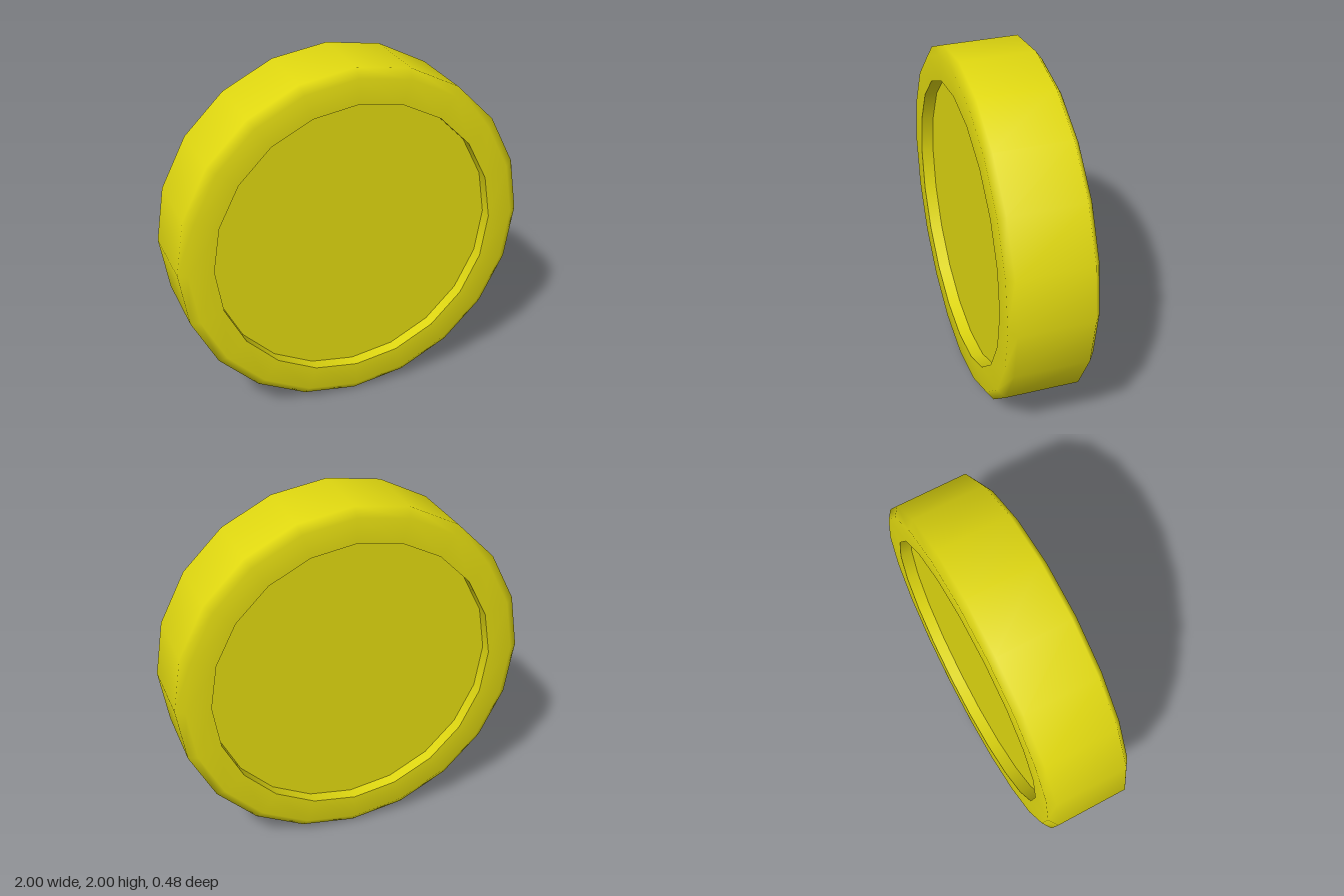
import * as THREE from 'three';

const SIDES = 20;
const HALF = 0.24;       // half thickness
const FLOOR = 0.17;      // height of the recessed face
const INNER = 0.81;      // radius of the recess

const material = new THREE.MeshStandardMaterial({ color: 0xe0d810 });

// Revolved part whose axis points along z
function lathe(name, profile) {
  const points = profile.map(([r, z]) => new THREE.Vector2(r, z));
  const geometry = new THREE.LatheGeometry(points, SIDES);
  geometry.rotateX(Math.PI / 2);
  const mesh = new THREE.Mesh(geometry, material);
  mesh.name = name;
  return mesh;
}

export function createModel() {
  const coin = new THREE.Group();
  coin.name = 'coin';

  // Outer band with bevelled edges and raised lips, smooth shaded
  coin.add(lathe('rim', [
    [INNER, -HALF], [0.95, -HALF], [1, -0.205],
    [1, 0.205], [0.95, HALF], [INNER, HALF],
  ]));

  // Recess on both sides: a short wall and a flat face
  for (const [side, turn] of [['front', 0], ['back', Math.PI]]) {
    const recess = new THREE.Group();
    recess.name = side + 'Recess';
    recess.add(lathe(side + 'RecessWall', [[INNER, HALF], [INNER, FLOOR]]));
    const face = new THREE.Mesh(new THREE.CircleGeometry(INNER, SIDES), material);
    face.name = side + 'Face';
    face.position.z = FLOOR;
    recess.add(face);
    recess.rotation.y = turn;
    coin.add(recess);
  }

  coin.position.y = 1;
  const model = new THREE.Group();
  model.add(coin);
  return model;
}
